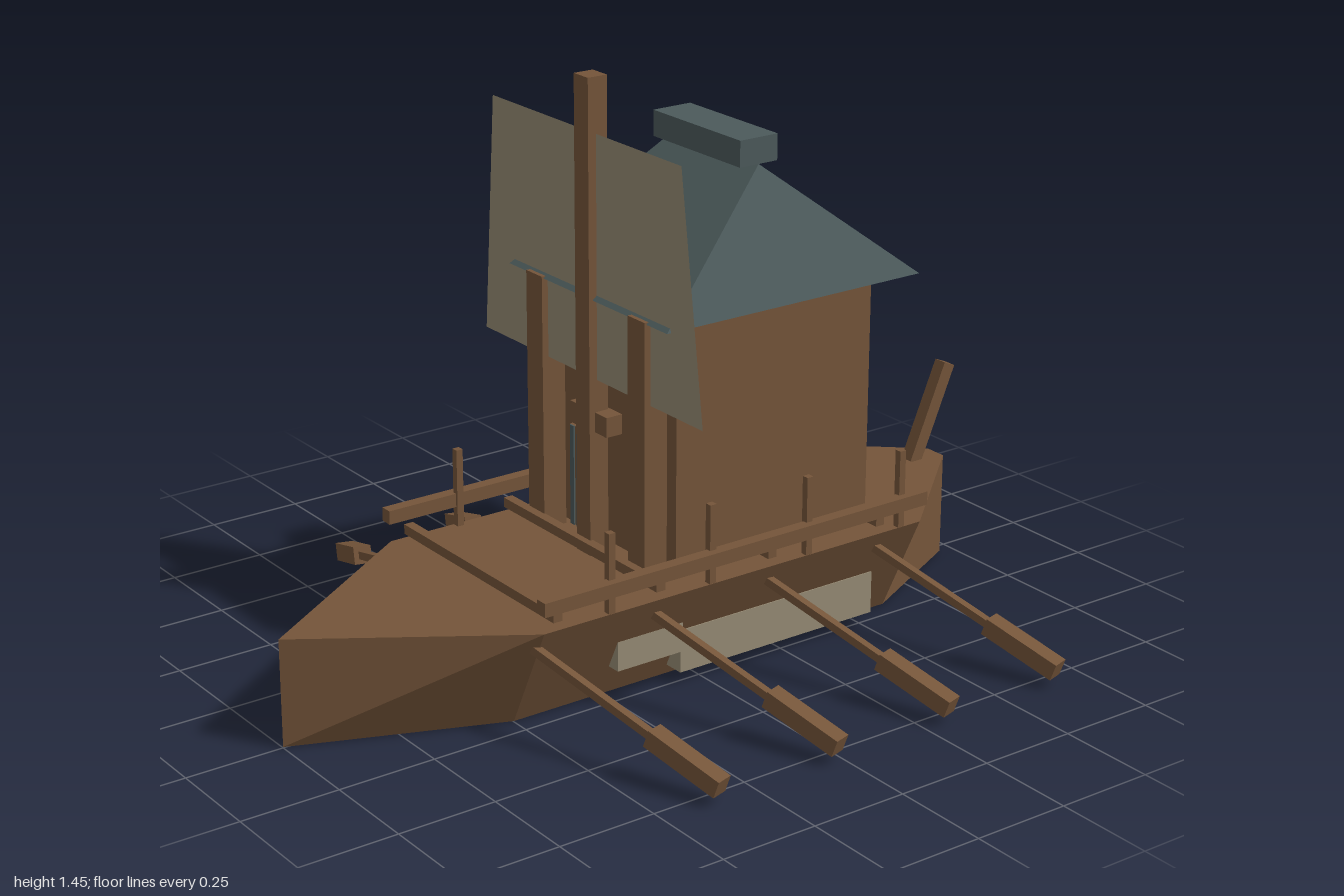
import * as THREE from 'three';

const flat = (name, color, side = THREE.FrontSide) => {
  const m = new THREE.MeshStandardMaterial({ color, side, flatShading: true });
  m.name = name;
  return m;
};

// Non-indexed geometry from polygons given as loops of points (outside counter-clockwise)
function faces(polys) {
  const pos = [];
  for (const p of polys)
    for (let i = 1; i < p.length - 1; i++) pos.push(...p[0], ...p[i], ...p[i + 1]);
  const g = new THREE.BufferGeometry();
  g.setAttribute('position', new THREE.Float32BufferAttribute(pos, 3));
  g.computeVertexNormals();
  return g;
}

export function createModel() {
  const wood = flat('wood', 0x75553a);
  const darkWood = flat('dark wood', 0x463b33);
  const slate = flat('slate', 0x4c5a5b);
  const canvas = flat('canvas', 0x968b74, THREE.DoubleSide);

  const boat = new THREE.Group();
  boat.name = 'boat';

  const add = (name, geo, mat, parent = boat) => {
    const m = new THREE.Mesh(geo, mat);
    m.name = name;
    parent.add(m);
    return m;
  };
  // Box from its minimum and maximum on each axis
  const box = (name, mat, x0, x1, y0, y1, z0, z1) => {
    const m = add(name, new THREE.BoxGeometry(x1 - x0, y1 - y0, z1 - z0), mat);
    m.position.set((x0 + x1) / 2, (y0 + y1) / 2, (z0 + z1) / 2);
    return m;
  };
  // Square bar between two points
  const bar = (name, mat, a, b, t) => {
    const m = add(name, new THREE.BoxGeometry(t, t, a.distanceTo(b)), mat);
    m.position.copy(a).lerp(b, 0.5);
    m.lookAt(b);
    return m;
  };

  // Hull: outline of half-widths along z, at deck and at keel
  const deck = 0.27;
  const stations = [[1, 0, 0], [0.5, 0.33, 0.2], [-0.62, 0.33, 0.2], [-0.96, 0.03, 0.03]];
  const top = (i, s) => [s * stations[i][1], deck, stations[i][0]];
  const low = (i, s) => [s * stations[i][2], 0, stations[i][0]];
  const polys = [];
  for (let i = 0; i < 3; i++) {
    polys.push([low(i, 1), low(i + 1, 1), top(i + 1, 1)], [low(i, 1), top(i + 1, 1), top(i, 1)]);
    polys.push([low(i, -1), top(i + 1, -1), low(i + 1, -1)], [low(i, -1), top(i, -1), top(i + 1, -1)]);
    polys.push([top(i, -1), top(i, 1), top(i + 1, 1), top(i + 1, -1)]);
    polys.push([low(i, 1), low(i, -1), low(i + 1, -1), low(i + 1, 1)]);
  }
  polys.push([low(3, 1), low(3, -1), top(3, -1), top(3, 1)]);
  add('hull', faces(polys), wood);
  box('bottomPlate', darkWood, -0.19, 0.19, -0.002, 0.004, -0.52, 0.07);

  // Pale blocks passing through the hull sides
  box('sideBlockRear', canvas, -0.27, 0.27, 0.03, 0.14, -0.52, 0.07);
  box('sideBlockFront', canvas, -0.28, 0.28, 0.09, 0.165, 0.07, 0.26);

  // Cabin and porch posts
  box('cabin', wood, -0.25, 0.25, deck, 0.92, -0.51, 0.07);
  for (const s of [-1, 1]) {
    box('porchPost', wood, s * 0.2075 - 0.033, s * 0.2075 + 0.033, deck, 0.92, 0.09, 0.155);
    box('windowFrame', wood, s * 0.147 - 0.026, s * 0.147 + 0.026, deck, 0.53, 0.07, 0.078);
    for (const o of [-0.013, 0.013])
      box('windowPane', slate, s * 0.147 + o - 0.008, s * 0.147 + o + 0.008, deck, 0.53, 0.076, 0.082);
  }

  // Hipped roof with a ridge cap
  const eave = (x, z) => [x * 0.32, 0.915, z > 0 ? 0.15 : -0.6];
  const ridge = (x) => [x * 0.17, 1.215, -0.225];
  add('roof', faces([
    [eave(-1, 1), eave(1, 1), ridge(1), ridge(-1)],
    [eave(1, -1), eave(-1, -1), ridge(-1), ridge(1)],
    [eave(1, 1), eave(1, -1), ridge(1)],
    [eave(-1, -1), eave(-1, 1), ridge(-1)],
    [eave(-1, -1), eave(1, -1), eave(1, 1), eave(-1, 1)],
  ]), slate);
  box('ridgeCap', slate, -0.17, 0.17, 1.215, 1.28, -0.28, -0.17);

  // Mast, cross peg and sail
  box('mast', wood, -0.028, 0.028, deck, 1.45, 0.107, 0.16);
  box('mastPeg', wood, -0.075, 0.075, 0.585, 0.635, 0.1, 0.145);
  add('sail', faces([[
    [-0.445, 0.715, 0.138], [0.44, 0.715, 0.138], [0.355, 1.315, 0.138], [-0.4, 1.315, 0.138],
  ]]), canvas);

  // Cross beams over the deck
  for (const z of [0.455, 0.165, -0.165, -0.5])
    box('crossBeam', wood, -0.32, 0.32, 0.285, 0.31, z - 0.0125, z + 0.0125);

  // Rails, rail posts and oars on both sides
  for (const s of [-1, 1]) {
    box('rail', wood, s * 0.333 - 0.016, s * 0.333 + 0.016, 0.32, 0.355, -0.625, 0.51);
    for (const z of [0.31, 0.02, -0.27, -0.56])
      box('railPost', wood, s * 0.32 - 0.009, s * 0.32 + 0.009, deck, 0.47, z - 0.009, z + 0.009);
    for (let i = 0; i < 4; i++) {
      const z = 0.51 - i * 0.335;
      const grip = new THREE.Vector3(s * 0.29, 0.228, z);
      const tip = new THREE.Vector3(s * 0.805, 0.042, z - 0.155);
      const neck = grip.clone().lerp(tip, 0.64);
      bar('oarShaft', wood, grip, neck.clone().lerp(tip, 0.1), 0.02);
      bar('oarBlade', wood, neck, tip, 0.045);
    }
  }

  // Steering arm at the stern
  bar('tiller', wood, new THREE.Vector3(0, 0.265, -0.876), new THREE.Vector3(0, 0.515, -0.982), 0.036);

  return boat;
}
